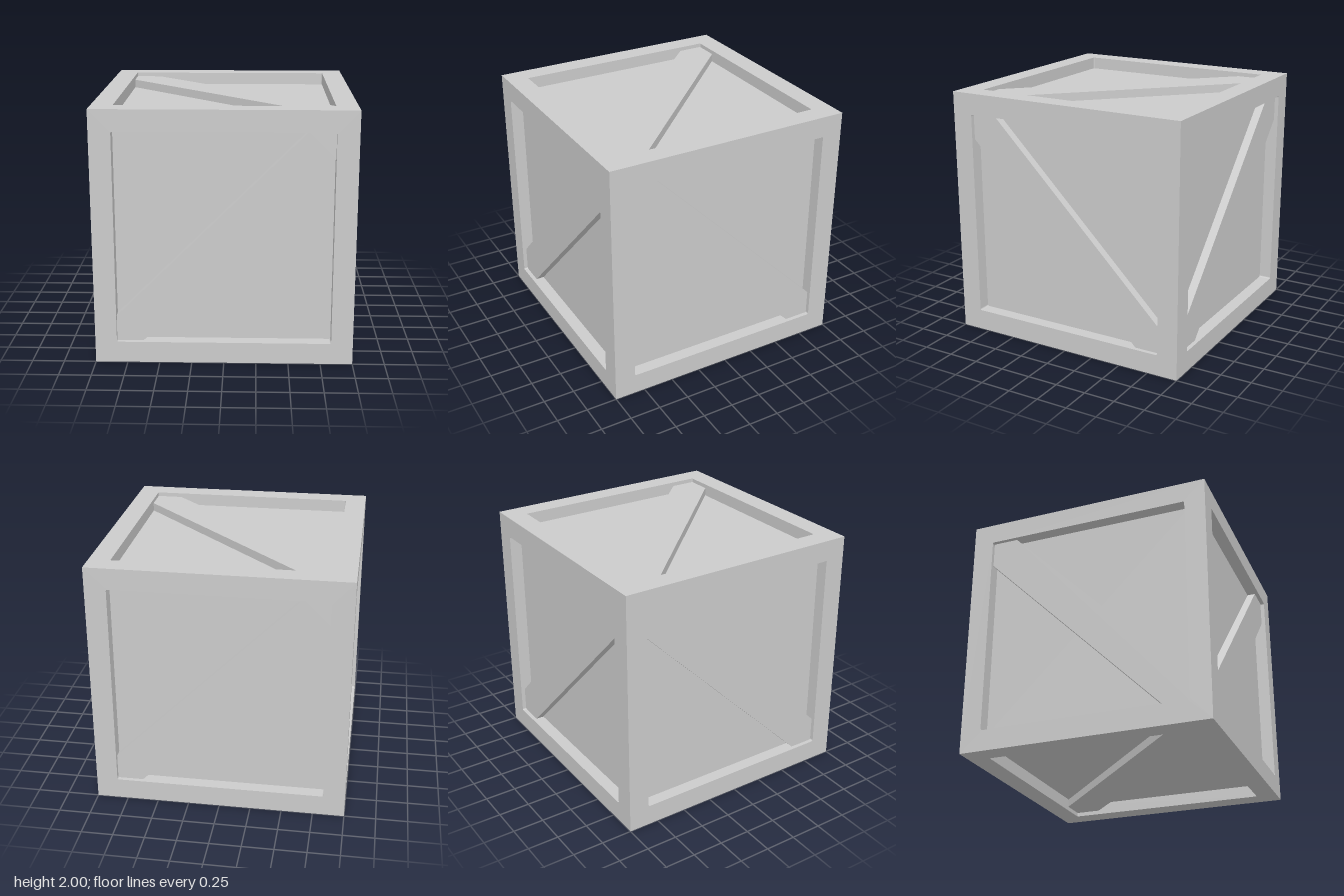
import * as THREE from 'three';

const OUTER = 1, CORE = 0.9, BRACE_TOP = 0.967; // distances from the crate's centre
const OPEN = 0.832, HALF = 0.205, ROUND = 0.012; // opening half-size, brace offset, corner radius

const material = new THREE.MeshStandardMaterial({ color: 0xcccccc });

function part(name, geometry) {
  const mesh = new THREE.Mesh(geometry, material);
  mesh.name = name;
  return mesh;
}

// Square border with a slightly rounded opening, mitred to meet its neighbours
function frameGeometry() {
  const s = OUTER, o = OPEN, r = ROUND;
  const shape = new THREE.Shape([[-s, -s], [s, -s], [s, s], [-s, s]].map(p => new THREE.Vector2(...p)));
  const hole = new THREE.Path();
  hole.moveTo(-o + r, -o);
  [0, 1, 2, 3].forEach(i => {
    const a = (i - 1) * Math.PI / 2;
    const cx = (i < 2 ? 1 : -1) * (o - r), cy = (i === 1 || i === 2 ? 1 : -1) * (o - r);
    hole.absarc(cx, cy, r, a, a + Math.PI / 2, false);
  });
  hole.closePath();
  shape.holes.push(hole);
  const geometry = new THREE.ExtrudeGeometry(shape, { depth: OUTER - CORE, bevelEnabled: false, curveSegments: 3 });
  geometry.translate(0, 0, CORE);
  // Pull the rear outer edge inward to form the mitre
  const p = geometry.attributes.position;
  for (let i = 0; i < p.count; i++) {
    if (Math.abs(p.getX(i)) > 0.95 && p.getZ(i) < 0.95) {
      p.setXY(i, p.getX(i) * CORE, p.getY(i) * CORE);
    }
  }
  geometry.computeVertexNormals();
  return geometry;
}

// Diagonal plank from lower left to upper right, its ends cut to the opening's corners
function braceGeometry() {
  const o = OPEN, c = OPEN - HALF;
  const shape = new THREE.Shape(
    [[-o, -o], [-c, -o], [o, c], [o, o], [c, o], [-o, -c]].map(p => new THREE.Vector2(...p)));
  const geometry = new THREE.ExtrudeGeometry(shape, { depth: BRACE_TOP - CORE, bevelEnabled: false });
  return geometry.translate(0, 0, CORE);
}

export function createModel() {
  const model = new THREE.Group();
  model.name = 'crate';

  // Inner box whose sides are the recessed panels
  model.add(part('panels', new THREE.BoxGeometry(2 * CORE, 2 * CORE, 2 * CORE)));

  const frame = frameGeometry(), brace = braceGeometry(), q = Math.PI / 2;
  // Name, rotation about x, rotation about y, brace turned to the other diagonal
  const sides = [
    ['front', 0, 0, false], ['back', 0, 2 * q, false],
    ['left', 0, q, true], ['right', 0, -q, true],
    ['top', -q, 0, true], ['bottom', q, 0, true],
  ];
  for (const [name, rx, ry, turned] of sides) {
    const side = new THREE.Group();
    side.name = name + 'Side';
    const plank = part(name + 'Brace', brace);
    if (turned) plank.rotation.z = q;
    side.add(part(name + 'Frame', frame), plank);
    side.rotation.set(rx, ry, 0);
    side.position.y = 0;
    model.add(side);
  }

  // Stand the crate on the ground
  model.children.forEach(child => { child.position.y = OUTER; });
  return model;
}
